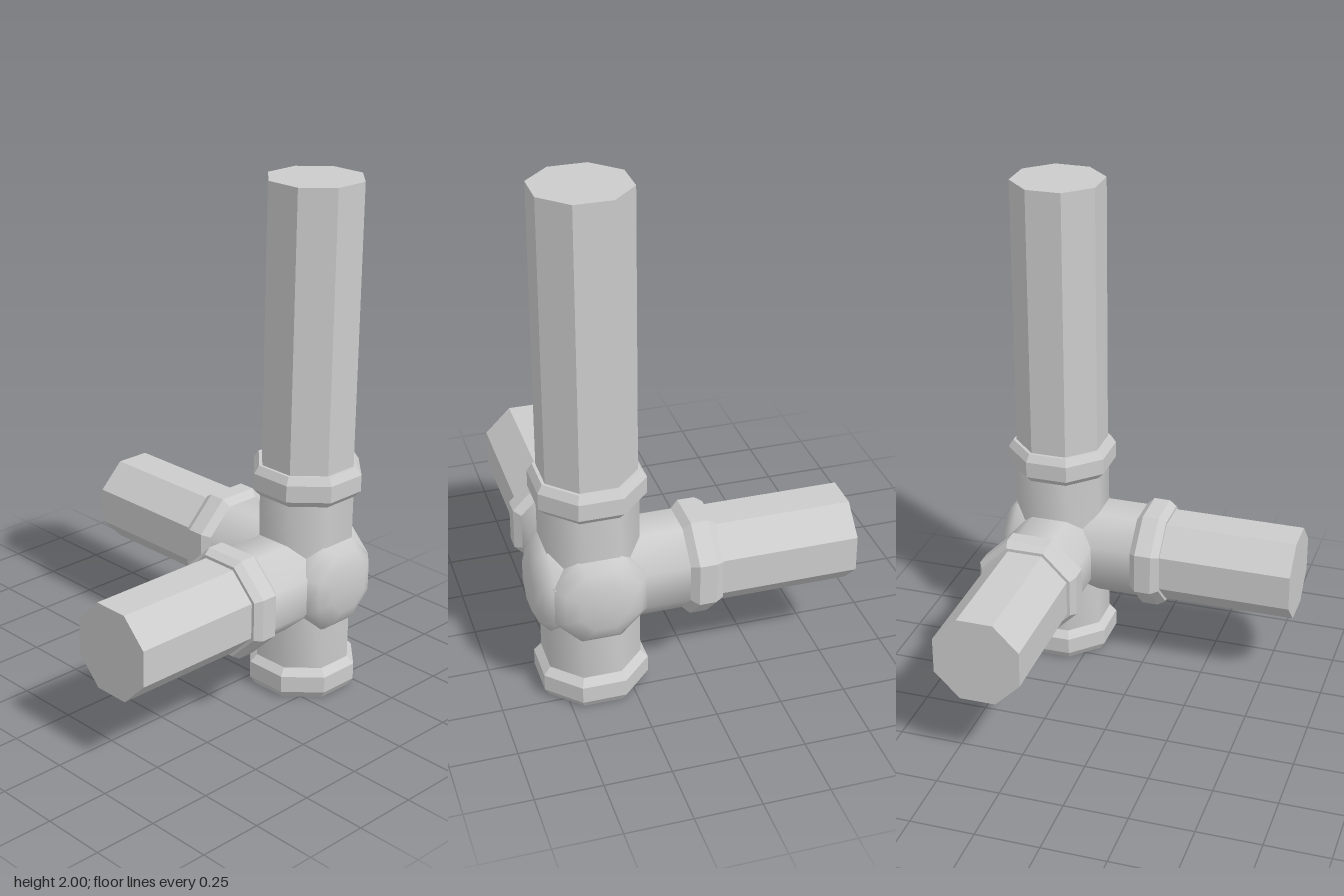
import * as THREE from 'three';
import { toCreasedNormals } from 'three/addons/utils/BufferGeometryUtils.js';

const SIDES = 8;
const CENTRE = new THREE.Vector3(0.38, 0.46, -0.38);
const material = new THREE.MeshStandardMaterial({ color: 0xcccccc });

// Octagonal turned part with its flats square to the axes.
// Profile points are [half width across flats, distance along the axis].
function octagon(name, profile, crease) {
  const k = 1 / Math.cos(Math.PI / SIDES);
  const points = profile.map(([r, y]) => new THREE.Vector2(r * k, y));
  const lathe = new THREE.LatheGeometry(points, SIDES, Math.PI / SIDES);
  const mesh = new THREE.Mesh(toCreasedNormals(lathe, crease), material);
  mesh.name = name;
  return mesh;
}

// Bevelled collar with a recessed bore
const collar = () => octagon('collar', [
  [0.172, 0.335], [0.2, 0.365], [0.2, 0.43], [0.182, 0.46],
  [0.162, 0.46], [0.162, 0.2], [0, 0.2],
], 0.5);

// Closed length of pipe seated in a collar
const pipe = (end) => octagon('pipe', [
  [0, 0.3], [0.17, 0.3], [0.17, end], [0, end],
], 0.5);

// Arm of the fitting, ending in a domed cap behind the junction
const domedArm = () => octagon('domedArm', [
  [0, -0.23], [0.09, -0.23], [0.138, -0.208], [0.176, -0.168],
  [0.175, -0.1], [0.174, 0.34],
], 1.1);

export function createModel() {
  const model = new THREE.Group();
  model.name = 'pipeJunction';

  // Vertical run through the junction
  const run = octagon('verticalRun', [[0.174, -0.34], [0.174, 0.34]], 1.1);
  run.position.copy(CENTRE);
  model.add(run);

  // Each branch points along +y before it is turned into place
  const branches = [
    { name: 'upperBranch', rotation: [0, 0, 0], end: 1.54 },
    { name: 'lowerSocket', rotation: [Math.PI, 0, 0] },
    { name: 'sideBranch', rotation: [0, 0, Math.PI / 2], end: 0.99, domed: true },
    { name: 'frontBranch', rotation: [Math.PI / 2, 0, 0], end: 0.99, domed: true },
  ];
  for (const { name, rotation, end, domed } of branches) {
    const branch = new THREE.Group();
    branch.name = name;
    branch.position.copy(CENTRE);
    branch.rotation.set(...rotation);
    branch.add(collar());
    if (end) branch.add(pipe(end));
    if (domed) branch.add(domedArm());
    model.add(branch);
  }
  return model;
}
